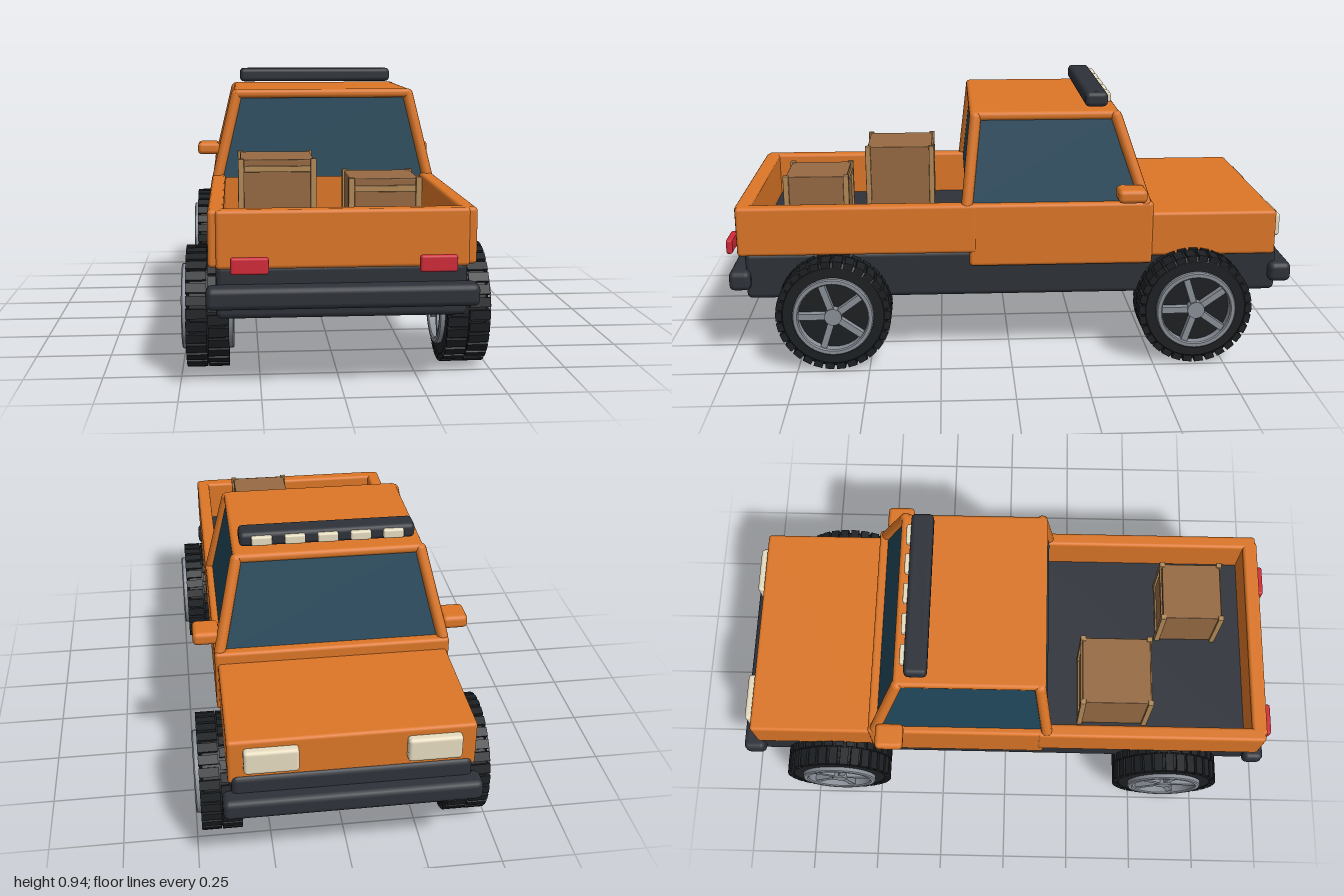
import * as THREE from 'three';
import { RoundedBoxGeometry } from 'three/addons/geometries/RoundedBoxGeometry.js';
import { mergeGeometries, toCreasedNormals } from 'three/addons/utils/BufferGeometryUtils.js';

const mat = (color) => new THREE.MeshStandardMaterial({ color });
const M = {
  paint: mat(0xdc7627), dark: mat(0x2e3239), tyre: mat(0x1d2023), rim: mat(0x8a9099),
  glass: mat(0x1f4558), wood: mat(0x966a42), frame: mat(0xb38a58),
  lamp: mat(0xe6dcc0), red: mat(0xd02a38),
};

function add(parent, name, geometry, material) {
  const mesh = new THREE.Mesh(geometry, material);
  mesh.name = name;
  parent.add(mesh);
  return mesh;
}

// Rounded box given by its limits on each axis
function box(parent, name, material, [x0, x1], [y0, y1], [z0, z1], r = 0.012) {
  const w = x1 - x0, h = y1 - y0, d = z1 - z0;
  const radius = Math.min(r, w * 0.45, h * 0.45, d * 0.45);
  const mesh = add(parent, name, new RoundedBoxGeometry(w, h, d, 2, radius), material);
  mesh.position.set((x0 + x1) / 2, (y0 + y1) / 2, (z0 + z1) / 2);
  return mesh;
}

// Round bar between two points
function bar(parent, name, material, a, b, r) {
  const p = new THREE.Vector3(...a), q = new THREE.Vector3(...b);
  const dir = q.clone().sub(p);
  const mesh = add(parent, name, new THREE.CapsuleGeometry(r, dir.length(), 4, 12), material);
  mesh.position.copy(p).add(q).multiplyScalar(0.5);
  mesh.quaternion.setFromUnitVectors(new THREE.Vector3(0, 1, 0), dir.normalize());
}

// Wheel with its axle along x
function makeWheel() {
  const wheel = new THREE.Group();
  wheel.name = 'wheel';
  const lathe = (pts) => toCreasedNormals(
    new THREE.LatheGeometry(pts.map((p) => new THREE.Vector2(...p)), 48).rotateZ(-Math.PI / 2), 0.6);

  add(wheel, 'tyre', lathe([
    [0.001, -0.05], [0.13, -0.05], [0.14, -0.066], [0.175, -0.066], [0.19, -0.055],
    [0.19, 0.055], [0.175, 0.066], [0.14, 0.066], [0.13, 0.05], [0.001, 0.05],
  ]), M.tyre);

  // Two staggered rows of tread blocks
  const blocks = [], count = 30;
  for (const side of [-1, 1]) {
    for (let i = 0; i < count; i++) {
      const block = new THREE.BoxGeometry(0.066, 0.022, 0.031);
      block.translate(side * 0.035, 0.188, 0);
      block.rotateX(((i + (side > 0 ? 0.5 : 0)) / count) * Math.PI * 2);
      blocks.push(block);
    }
  }
  add(wheel, 'tread', mergeGeometries(blocks), M.tyre);

  // Rim ring, hub and five spokes on both sides
  for (const side of [-1, 1]) {
    const ring = lathe([[0.12, 0.045], [0.14, 0.045], [0.14, 0.08], [0.136, 0.084], [0.124, 0.084], [0.12, 0.08], [0.12, 0.045]]);
    if (side < 0) ring.rotateY(Math.PI);
    add(wheel, 'rimRing', ring, M.rim);
    const hub = add(wheel, 'hub', new THREE.CylinderGeometry(0.03, 0.03, 0.04, 24), M.rim);
    hub.rotation.z = Math.PI / 2;
    hub.position.x = side * 0.06;
    for (let i = 0; i < 5; i++) {
      const spoke = new THREE.BoxGeometry(0.025, 0.022, 0.11);
      spoke.translate(side * 0.062, 0, 0.072);
      spoke.rotateX((i / 5) * Math.PI * 2);
      add(wheel, 'spoke', spoke, M.rim);
    }
  }
  return wheel;
}

// Wooden crate with corner posts and end rails
function makeCrate(size) {
  const crate = new THREE.Group();
  crate.name = 'crate';
  const h = size / 2, t = 0.02;
  box(crate, 'crateBody', M.wood, [-h + 0.008, h - 0.008], [0, size - 0.004], [-h + 0.008, h - 0.008], 0.003);
  for (const sz of [-1, 1]) {
    const z = sz * (h - t / 2);
    for (const sx of [-1, 1]) {
      const x = sx * (h - t / 2);
      box(crate, 'cratePost', M.frame, [x - t / 2, x + t / 2], [0, size], [z - t / 2, z + t / 2], 0.002);
    }
    for (const y of [0.02, size - 0.035]) {
      box(crate, 'crateRail', M.frame, [-h + t, h - t], [y - 0.01, y + 0.01], [z - 0.008, z + 0.008], 0.002);
    }
  }
  return crate;
}

export function createModel() {
  const truck = new THREE.Group();
  truck.name = 'pickupTruck';

  // Chassis and bumpers
  box(truck, 'chassis', M.dark, [-0.385, 0.385], [0.23, 0.4], [-0.95, 0.93], 0.02);
  box(truck, 'rearBumper', M.dark, [-0.415, 0.415], [0.27, 0.34], [0.91, 0.985], 0.02);
  box(truck, 'frontBumper', M.dark, [-0.415, 0.415], [0.27, 0.34], [-1, -0.92], 0.02);

  // Lower cab and hood
  box(truck, 'cabBase', M.paint, [-0.405, 0.405], [0.345, 0.57], [-0.5, 0.145]);
  box(truck, 'hood', M.paint, [-0.395, 0.395], [0.37, 0.53], [-0.94, -0.48]);

  // Cargo bed
  box(truck, 'bedFloor', M.dark, [-0.37, 0.37], [0.385, 0.41], [0.13, 0.92], 0.004);
  box(truck, 'tailgate', M.paint, [-0.385, 0.385], [0.39, 0.57], [0.9, 0.955]);
  for (const s of [-1, 1]) {
    box(truck, 'bedSide', M.paint, [s * 0.3825 - 0.025, s * 0.3825 + 0.025], [0.395, 0.57], [0.12, 0.95]);
  }

  // Tapered cab glass
  const glass = new THREE.BoxGeometry(1, 1, 1);
  const pos = glass.attributes.position;
  for (let i = 0; i < pos.count; i++) {
    const top = pos.getY(i) > 0, front = pos.getZ(i) < 0;
    const z = front ? (top ? -0.375 : -0.47) : (top ? 0.122 : 0.155);
    pos.setXYZ(i, Math.sign(pos.getX(i)) * (top ? 0.315 : 0.382), top ? 0.865 : 0.56, z);
  }
  glass.computeVertexNormals();
  add(truck, 'cabGlass', glass, M.glass);

  // Roof and pillars
  box(truck, 'roof', M.paint, [-0.325, 0.325], [0.848, 0.88], [-0.385, 0.14], 0.014);
  for (const s of [-1, 1]) {
    bar(truck, 'frontPillar', M.paint, [s * 0.385, 0.565, -0.472], [s * 0.315, 0.86, -0.372], 0.02);
    bar(truck, 'rearPillar', M.paint, [s * 0.385, 0.565, 0.152], [s * 0.315, 0.86, 0.12], 0.02);
  }

  // Roof light bar
  box(truck, 'lightBar', M.dark, [-0.3, 0.3], [0.888, 0.94], [-0.345, -0.265], 0.016);
  for (let i = -2; i <= 2; i++) {
    const x = i * 0.112;
    box(truck, 'roofLamp', M.lamp, [x - 0.035, x + 0.035], [0.898, 0.93], [-0.36, -0.33], 0.006);
  }

  // Mirrors, headlights and tail lights
  for (const s of [-1, 1]) {
    box(truck, 'mirror', M.paint, [s * 0.43 - 0.045, s * 0.43 + 0.045], [0.585, 0.633], [-0.465, -0.365], 0.016);
    box(truck, 'headlight', M.lamp, [s * 0.258 - 0.087, s * 0.258 + 0.087], [0.42, 0.505], [-0.968, -0.93]);
    box(truck, 'tailLight', M.red, [s * 0.283 - 0.057, s * 0.283 + 0.057], [0.383, 0.435], [0.978, 1], 0.008);
  }

  // Wheels
  for (const s of [-1, 1]) {
    for (const z of [-0.645, 0.62]) {
      const wheel = makeWheel();
      wheel.position.set(s * 0.415, 0.2, z);
      truck.add(wheel);
    }
  }

  // Cargo
  for (const [size, x, z] of [[0.262, -0.182, 0.4], [0.232, 0.145, 0.685]]) {
    const crate = makeCrate(size);
    crate.position.set(x, 0.41, z);
    truck.add(crate);
  }
  return truck;
}
